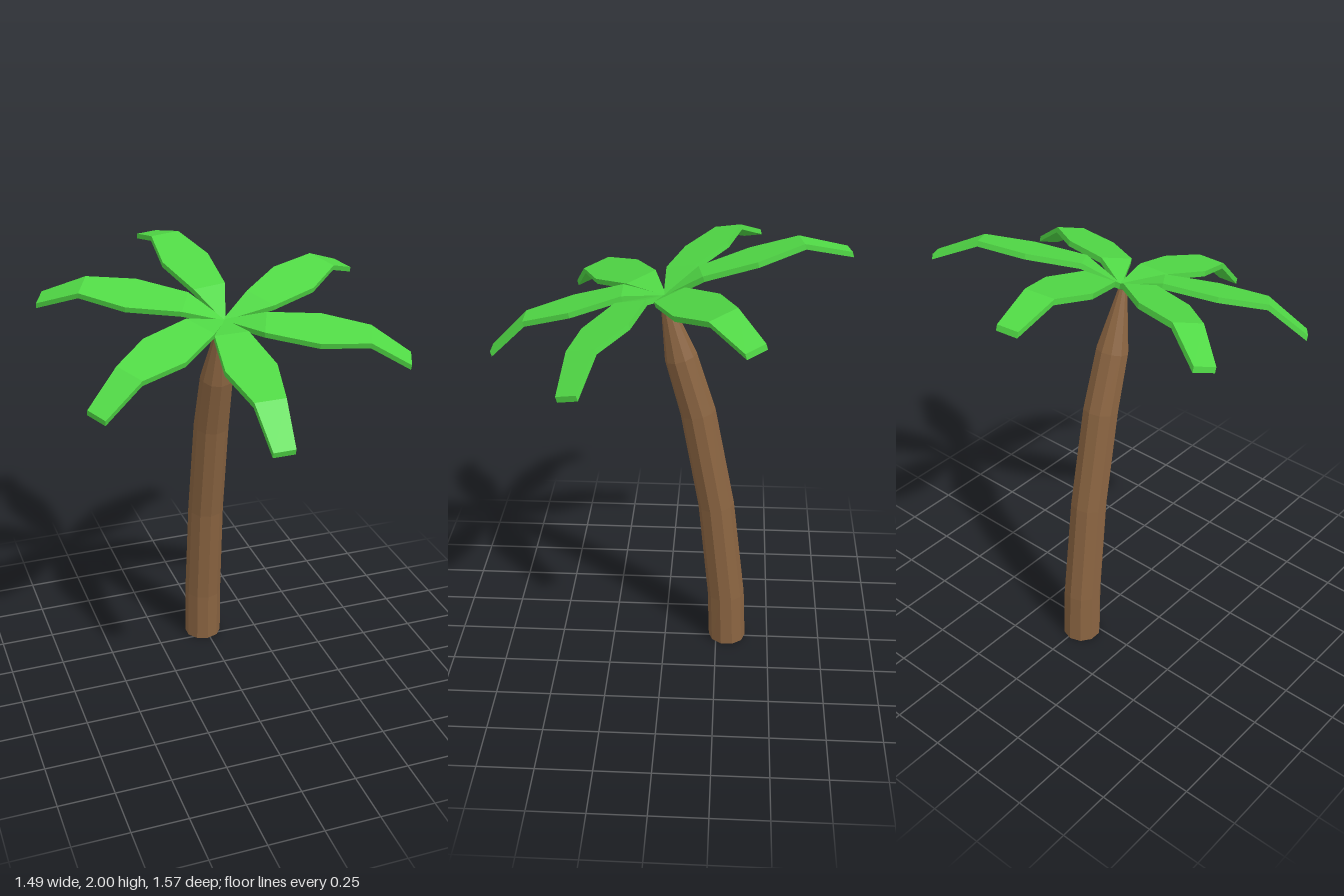
import * as THREE from 'three';

const bark = new THREE.MeshStandardMaterial({ color: 0x8a6441, flatShading: true, side: THREE.DoubleSide });
const leaf = new THREE.MeshStandardMaterial({ color: 0x50d845, flatShading: true });

// Trunk rings from the ground up: height, z, radius, tilt in degrees
const RINGS = [
  [0, -0.303, 0.088, 0],
  [0.25, -0.293, 0.087, 3],
  [0.74, -0.238, 0.083, 7],
  [1.215, -0.148, 0.08, 11],
  [1.48, -0.07, 0.073, 16],
  [1.75, 0, 0.02, 16],
];

// Frond sections from the root out: distance, height, half width, share of sideways offset
const SECTIONS = [
  [0, 0, 0.006, 0],
  [0.175, 0.057, 0.076, 1],
  [0.41, 0.057, 0.112, 1],
  [0.623, 0.057, 0.068, 1],
  [0.812, -0.045, 0.048, 1],
];

// Heading in degrees and sideways offset of each frond
const FRONDS = [[1, -0.034], [67.9, -0.065], [122, -0.053], [189, -0.012], [242.6, 0], [303.7, 0.003]];

const THICKNESS = 0.025;

// Moves every vertex of a geometry by a rule
function reshape(geometry, rule) {
  const p = geometry.attributes.position;
  const v = new THREE.Vector3();
  for (let i = 0; i < p.count; i++) {
    rule(v.fromBufferAttribute(p, i));
    p.setXYZ(i, v.x, v.y, v.z);
  }
  geometry.computeVertexNormals();
  return geometry;
}

// Open ten-sided tube, bent and tapered through the rings
function createTrunk() {
  const steps = RINGS.length - 1;
  const geometry = reshape(new THREE.CylinderGeometry(1, 1, 1, 10, steps, true), (v) => {
    const [y, z, radius, degrees] = RINGS[Math.round((v.y + 0.5) * steps)];
    const tilt = THREE.MathUtils.degToRad(degrees);
    const across = v.z * radius;
    v.set(-0.012 + v.x * radius, y - across * Math.sin(tilt), z + across * Math.cos(tilt));
  });
  const trunk = new THREE.Mesh(geometry, bark);
  trunk.name = 'trunk';
  return trunk;
}

// Thin slab that rises from its root, widens and droops at the tip
function createFrond([heading, offset]) {
  const steps = SECTIONS.length - 1;
  const geometry = reshape(new THREE.BoxGeometry(1, 1, 1, 1, 1, steps), (v) => {
    const [distance, height, halfWidth, share] = SECTIONS[Math.round((v.z + 0.5) * steps)];
    v.set(offset * share + v.x * 2 * halfWidth, height + (v.y - 0.5) * THICKNESS, distance);
  });
  const frond = new THREE.Mesh(geometry, leaf);
  frond.name = 'frond';
  frond.rotation.y = THREE.MathUtils.degToRad(heading);
  return frond;
}

export function createModel() {
  const model = new THREE.Group();
  model.name = 'palmTree';
  model.add(createTrunk());

  // Crown of fronds, leaning forward
  const crown = new THREE.Group();
  crown.name = 'crown';
  crown.position.y = 1.77;
  crown.rotation.x = THREE.MathUtils.degToRad(16.2);
  for (const frond of FRONDS) crown.add(createFrond(frond));
  model.add(crown);
  return model;
}
